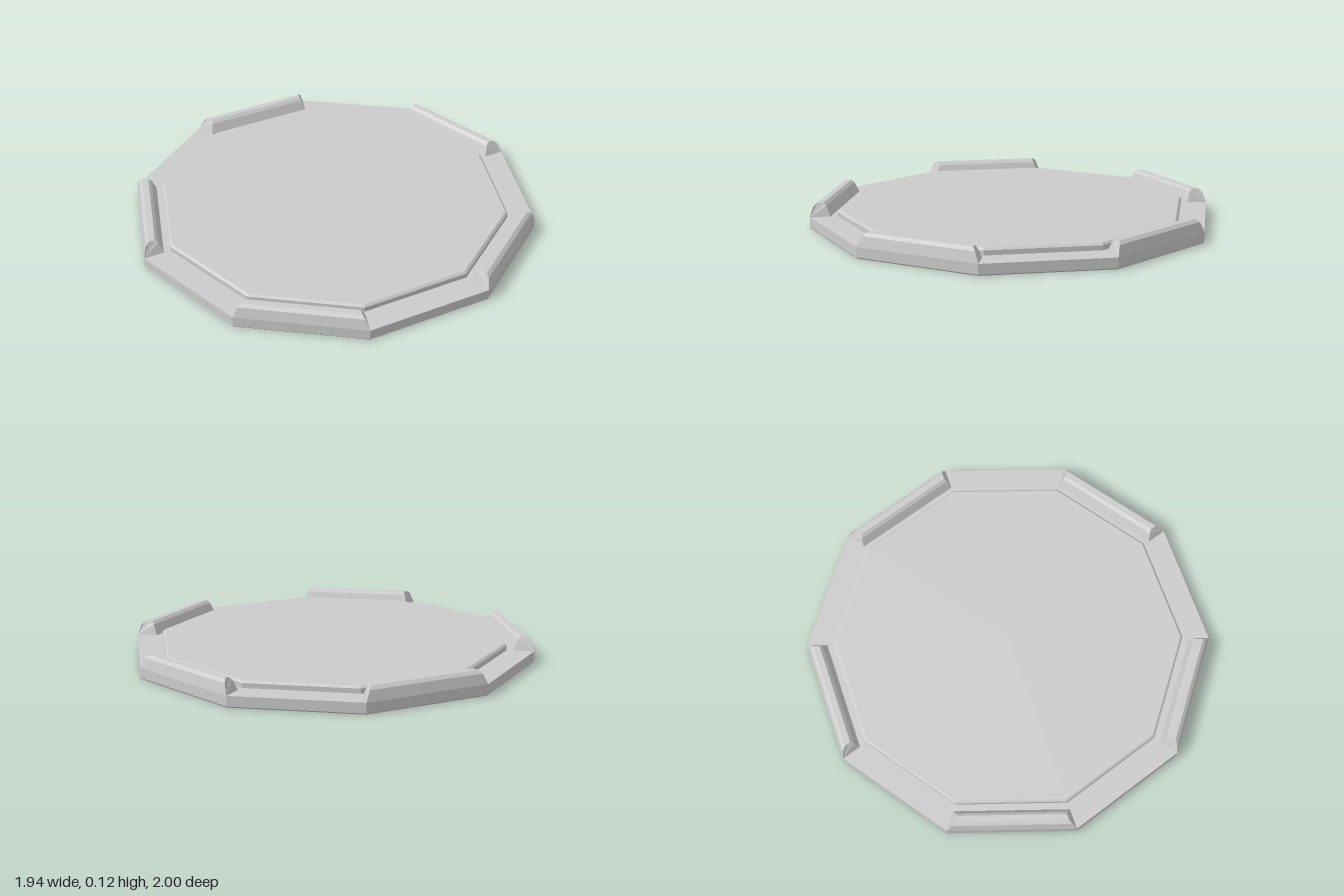
import * as THREE from 'three';

const SIDES = 10;
const RADIUS = 1.002;
const HALF = Math.PI / SIDES;
const APOTHEM = RADIUS * Math.cos(HALF);
const RIM_TOP = 0.055;

const material = new THREE.MeshStandardMaterial({ color: 0xcccccc, flatShading: true });

// Faceted solid turned from a [radius, height] profile
function decagon(name, profile) {
  const points = profile.map(([r, y]) => new THREE.Vector2(r, y));
  const mesh = new THREE.Mesh(new THREE.LatheGeometry(points, SIDES), material);
  mesh.name = name;
  return mesh;
}

// Bevelled rail: cross-section of [inset from edge, height, end setback],
// with ends mitred towards the centre and leaning inwards
function railGeometry() {
  const section = [
    [0, RIM_TOP, 0],
    [0.012, 0.105, 0.018],
    [0.028, 0.12, 0.03],
    [0.058, 0.12, 0.03],
    [0.073, 0.106, 0.019],
    [0.095, RIM_TOP, 0],
  ];
  const end = (side) => section.map(([inset, y, setback]) => {
    const z = APOTHEM - inset;
    return [side * (z * Math.tan(HALF) - setback), y, z];
  });
  const left = end(-1);
  const right = end(1);
  const positions = [];
  const tri = (a, b, c) => positions.push(...a, ...b, ...c);
  for (let i = 0; i < section.length - 1; i++) {
    // long faces
    tri(left[i], right[i], right[i + 1]);
    tri(left[i], right[i + 1], left[i + 1]);
    // end caps
    if (i > 0) {
      tri(left[0], left[i], left[i + 1]);
      tri(right[0], right[i + 1], right[i]);
    }
  }
  const geometry = new THREE.BufferGeometry();
  geometry.setAttribute('position', new THREE.Float32BufferAttribute(positions, 3));
  geometry.computeVertexNormals();
  return geometry;
}

export function createModel() {
  const model = new THREE.Group();
  model.name = 'decagonalPlatform';

  // Base slab with a fine lower bevel
  model.add(decagon('baseSlab', [
    [0, 0], [RADIUS - 0.005, 0], [RADIUS, 0.006], [RADIUS, RIM_TOP], [0, RIM_TOP],
  ]));

  // Raised floor with a chamfered edge
  model.add(decagon('raisedFloor', [
    [0.868, RIM_TOP], [0.868, 0.078], [0.857, 0.088], [0, 0.088],
  ]));

  // Rails on every second side
  const geometry = railGeometry();
  for (let i = 0; i < SIDES; i += 2) {
    const rail = new THREE.Mesh(geometry, material);
    rail.name = `edgeRail${i / 2 + 1}`;
    rail.rotation.y = HALF * (2 * i + 1);
    model.add(rail);
  }

  model.rotation.y = THREE.MathUtils.degToRad(-3.8);
  return model;
}
